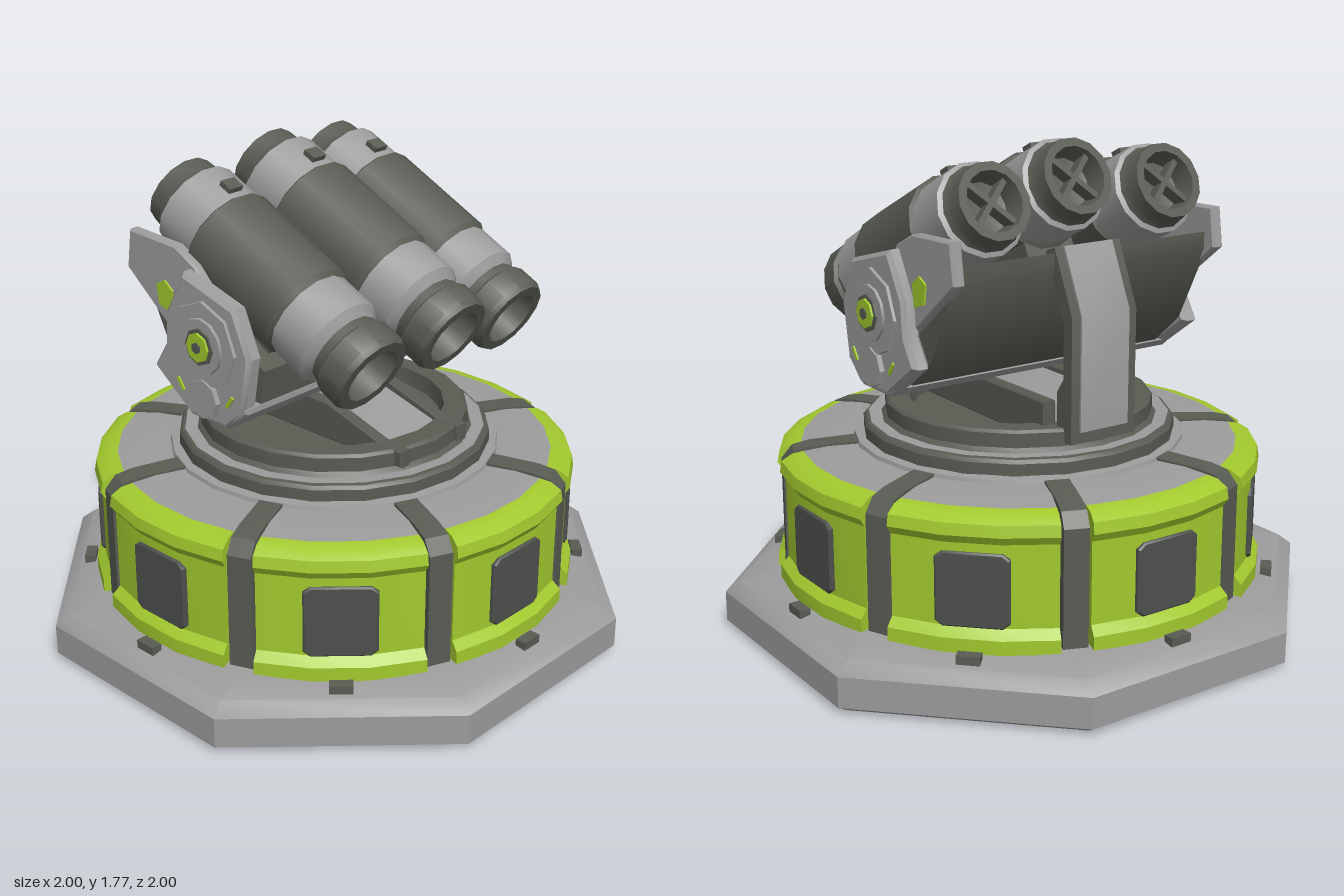
import * as THREE from 'three';
import { toCreasedNormals, mergeGeometries } from 'three/addons/utils/BufferGeometryUtils.js';

const mat = (name, color, side = THREE.FrontSide) => {
  const m = new THREE.MeshStandardMaterial({ color, side });
  m.name = name;
  return m;
};

export function createModel() {
  const gray = mat('lightGray', 0x9c9c9c, THREE.DoubleSide);
  const dark = mat('darkGray', 0x585c53, THREE.DoubleSide);
  const green = mat('limeGreen', 0xa2c92e, THREE.DoubleSide);
  const glass = mat('ventGray', 0x4d504d);
  const model = new THREE.Group();
  model.name = 'launcherTurret';

  const vec = (pts) => pts.map(([x, y]) => new THREE.Vector2(x, y));
  const add = (parent, name, geo, material, x = 0, y = 0, z = 0) => {
    const m = new THREE.Mesh(toCreasedNormals(geo, 0.55), material);
    m.name = name;
    m.position.set(x, y, z);
    parent.add(m);
    return m;
  };
  const lathe = (pts, segs, start = 0, len = Math.PI * 2) =>
    new THREE.LatheGeometry(vec(pts), segs, start, len);
  // Outline in x/y, given thickness along z, centred on z = 0
  const slab = (pts, depth, bevel = 0) => {
    const g = new THREE.ExtrudeGeometry(new THREE.Shape(vec(pts)), {
      depth: depth - 2 * bevel, bevelEnabled: bevel > 0, bevelSegments: 1,
      bevelSize: bevel, bevelThickness: bevel, bevelOffset: -bevel,
    });
    return g.translate(0, 0, -depth / 2 + bevel);
  };
  const disc = (r, depth, sides) =>
    new THREE.CylinderGeometry(r * 0.93, r, depth, sides).rotateX(Math.PI / 2);

  // Octagonal foot
  add(model, 'basePlate', lathe([[0, 0.005], [1.04, 0.005], [1.082, 0.03], [1.082, 0.14],
    [1.03, 0.18], [0.9, 0.205], [0, 0.21]], 8, Math.PI / 8), gray);

  // Drum: eight armoured panels with vents, ribs and clamps
  const span = THREE.MathUtils.degToRad(38);
  const wall = [[0.83, 0.2], [0.885, 0.2], [0.885, 0.25], [0.855, 0.28], [0.855, 0.57],
    [0.875, 0.6], [0.868, 0.64], [0.83, 0.664], [0.79, 0.67]];
  const capOutline = new THREE.Shape(vec([...wall, [0.75, 0.67], [0.75, 0.2]]));
  const panelGeo = mergeGeometries([
    lathe(wall, 3, -span / 2, span),
    ...[-1, 1].map((s) => new THREE.ShapeGeometry(capOutline).rotateY(s * span / 2 - Math.PI / 2)),
  ]);
  const roofGeo = lathe([[0.79, 0.67], [0.7, 0.68], [0.56, 0.682]], 3, -span / 2, span);
  const ribGeo = slab([[0.54, 0.2], [0.86, 0.2], [0.86, 0.62], [0.82, 0.668], [0.76, 0.682],
    [0.56, 0.694], [0.54, 0.694]], 0.085).rotateY(-Math.PI / 2);
  const ventGeo = slab([[-0.1, -0.13], [0.1, -0.13], [0.125, -0.11], [0.125, 0.11],
    [0.1, 0.13], [-0.1, 0.13], [-0.125, 0.11], [-0.125, -0.11]], 0.04, 0.006);
  add(model, 'drumCore', lathe([[0.8, 0.2], [0.8, 0.64], [0.56, 0.66]], 24), dark);
  for (let i = 0; i < 8; i++) {
    const section = new THREE.Group();
    section.name = 'drumSection';
    section.rotation.y = i * Math.PI / 4;
    add(section, 'armourPanel', panelGeo, green);
    add(section, 'panelRoof', roofGeo, gray);
    add(section, 'vent', ventGeo, glass, 0, 0.41, 0.84);
    add(section, 'rib', ribGeo, dark).rotation.y = Math.PI / 8;
    add(section, 'clamp', new THREE.BoxGeometry(0.08, 0.03, 0.04), dark, 0, 0.2, 0.915);
    model.add(section);
  }

  // Stepped turntable ring with a recessed floor
  add(model, 'ringTrim', lathe([[0.6, 0.675], [0.595, 0.695], [0.55, 0.7]], 24), gray);
  add(model, 'turntable', lathe([[0.565, 0.68], [0.565, 0.74], [0.555, 0.752], [0.5, 0.755],
    [0.485, 0.77], [0.485, 0.82], [0.475, 0.83], [0.4, 0.83], [0.39, 0.77], [0, 0.77]], 20), dark);
  add(model, 'turntableEdge', lathe([[0.49, 0.755], [0.545, 0.757]].reverse(), 20), gray);

  // Cradle rails, sloping deck and rear support arm
  for (const s of [-1, 1]) {
    add(model, 'deckRail', slab([[-0.4, 0.77], [0.48, 0.77], [0.48, 0.83], [0.38, 0.835],
      [0.13, 0.91], [-0.4, 0.915]], 0.05, 0.006), dark, 0, 0, s * 0.15);
  }
  add(model, 'deck', slab([[-0.38, 0.77], [0.4, 0.77], [0.36, 0.82], [0.1, 0.89], [-0.38, 0.89]], 0.25), gray);
  add(model, 'supportArm', slab([[-0.5, 0.78], [-0.42, 0.78], [-0.42, 0.95], [-0.455, 1.0],
    [-0.455, 1.19], [-0.35, 1.42], [-0.4, 1.44], [-0.5, 1.22]], 0.27), dark);
  add(model, 'armCover', slab([[-0.508, 0.82], [-0.5, 0.82], [-0.5, 1.22], [-0.4, 1.44],
    [-0.408, 1.44], [-0.508, 1.22]], 0.2), gray);

  // Cross beam beneath the tubes
  add(model, 'crossBeam', slab([[-0.26, 1.08], [-0.1, 0.94], [0.07, 0.94], [0.17, 1.02],
    [0.19, 1.15], [-0.15, 1.34], [-0.4, 1.42], [-0.4, 1.36]], 1.06), dark);
  add(model, 'beamLip', slab([[-0.14, 0.965], [-0.1, 0.932], [0.08, 0.932], [0.175, 1.01],
    [0.175, 1.03], [0.06, 1.03]], 1.2, 0.008), gray);

  // Side plates and pivot hubs
  for (const s of [-1, 1]) {
    const side = new THREE.Group();
    side.name = s > 0 ? 'leftPivot' : 'rightPivot';
    add(side, 'sideEar', slab([[-0.45, 1.37], [-0.2, 1.17], [0.1, 1.2], [-0.1, 1.45],
      [-0.2, 1.5], [-0.43, 1.51]], 0.045, 0.006), gray, 0, 0, s * 0.54);
    add(side, 'earMark', slab([[-0.28, 1.28], [-0.22, 1.26], [-0.21, 1.34], [-0.25, 1.37], [-0.29, 1.35]],
      0.008), green, 0, 0, s * 0.566);
    add(side, 'pivotPlate', slab([[-0.1, 0.935], [0.085, 0.935], [0.165, 1.01], [0.2, 1.21],
      [0.13, 1.37], [-0.12, 1.44], [-0.21, 1.28], [-0.22, 1.16], [-0.28, 1.065]], 0.065, 0.015), gray, 0, 0, s * 0.575);
    for (const [name, r, out, sides, m, y] of [
      ['hubRing', 0.165, 0.618, 8, gray, 1.21], ['hubStep', 0.105, 0.628, 12, gray, 1.21],
      ['hubRecess', 0.07, 0.634, 8, dark, 1.21], ['hubCap', 0.055, 0.642, 8, green, 1.21],
      ['hubPin', 0.022, 0.647, 6, dark, 1.21], ['lowerBoss', 0.075, 0.625, 8, gray, 1.02],
    ]) {
      const d = add(side, name, disc(r, 0.05, sides), m, -0.015, y, s * (out - 0.025));
      if (s < 0) d.rotation.y = Math.PI;
    }
    for (const k of [-1, 1]) {
      const mark = add(side, 'bossMark', new THREE.BoxGeometry(0.012, 0.05, 0.008), green,
        -0.015 + k * 0.12, 1.04, s * 0.61);
      mark.rotation.z = -k * 0.6;
    }
    model.add(side);
  }

  // Three launch tubes, profiles run from tail to muzzle along local x
  const bands = [
    ['tailNozzle', dark, [[0, 0.1], [0.09, 0.08], [0.105, 0], [0.135, 0], [0.14, 0.06], [0.15, 0.08]]],
    ['rearCollar', gray, [[0.13, 0.075], [0.165, 0.09], [0.165, 0.27]]],
    ['tubeBody', dark, [[0.16, 0.245], [0.178, 0.26], [0.178, 0.67], [0.163, 0.69]]],
    ['frontCollar', gray, [[0.165, 0.67], [0.165, 0.83], [0.135, 0.86]]],
    ['muzzle', dark, [[0.135, 0.85], [0.138, 0.89], [0.152, 0.9], [0.152, 0.98], [0.142, 1],
      [0.105, 1], [0.092, 0.86], [0, 0.86]]],
  ].map(([name, m, pts]) => [name, m, lathe(pts, 14).rotateZ(-Math.PI / 2)]);
  const launcher = new THREE.Group();
  launcher.name = 'launchTubes';
  launcher.position.set(-0.385, 1.615, 0);
  launcher.rotation.z = THREE.MathUtils.degToRad(-26);
  for (const k of [-1, 0, 1]) {
    const tube = new THREE.Group();
    tube.name = 'launchTube';
    tube.position.set(k ? 0 : 0.015, k ? 0 : 0.055, k * 0.36);
    for (const [name, m, geo] of bands) add(tube, name, geo, m);
    add(tube, 'tubeLatch', new THREE.BoxGeometry(0.05, 0.03, 0.06), dark, 0.2, 0.165, 0);
    // Crossed vanes inside the tail
    for (const a of [0, 1]) {
      add(tube, 'tailVane', new THREE.BoxGeometry(0.05, 0.2, 0.02), dark, 0.045, 0, 0).rotation.x =
        Math.PI / 4 + a * Math.PI / 2;
    }
    // Saddle joining the tube to the beam
    add(tube, 'tubeSaddle', new THREE.BoxGeometry(0.4, 0.12, 0.2), dark, 0.46, -0.19, 0);
    launcher.add(tube);
  }
  model.add(launcher);
  return model;
}
